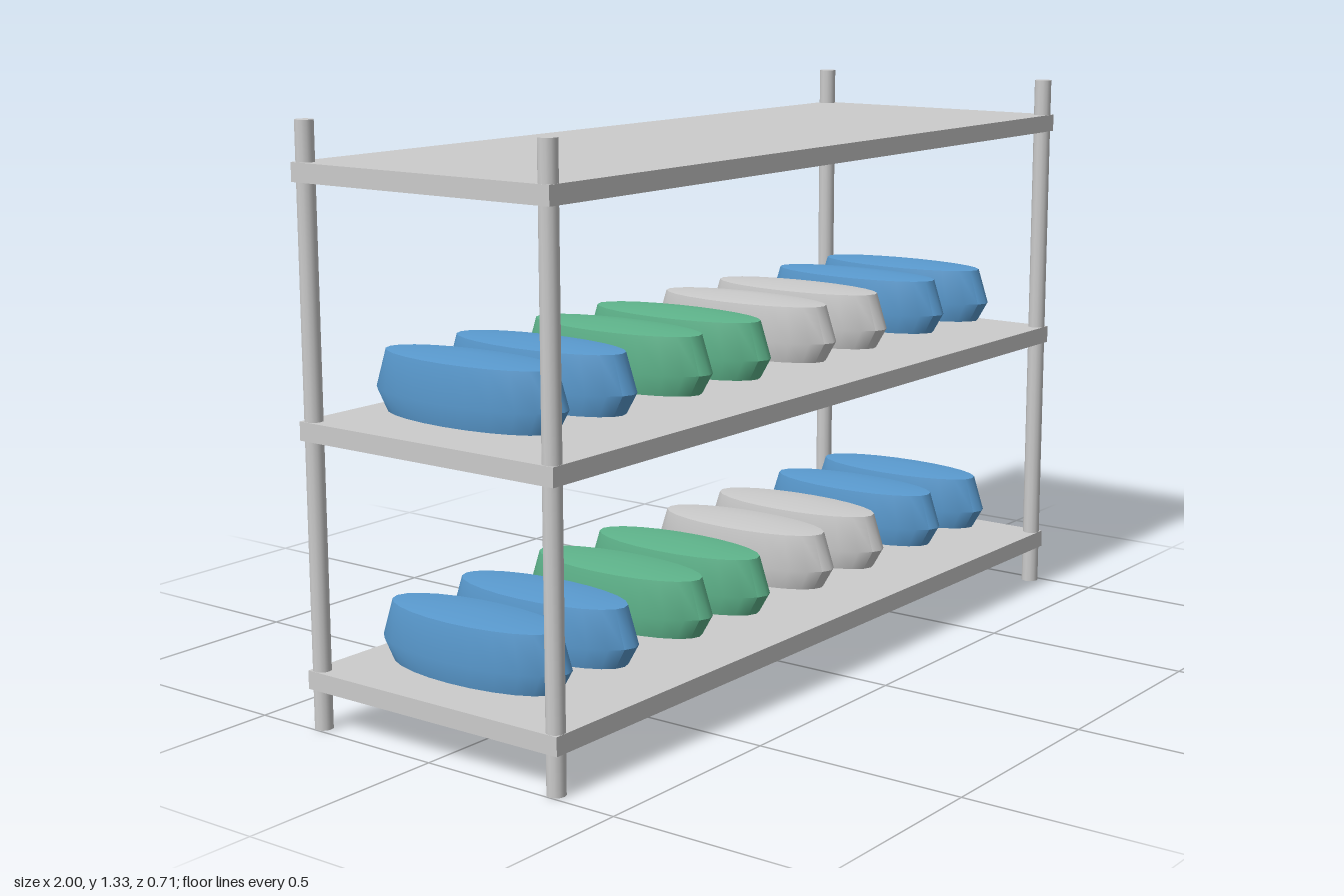
import * as THREE from 'three';
import { toCreasedNormals } from 'three/addons/utils/BufferGeometryUtils.js';

const material = (color) => new THREE.MeshStandardMaterial({ color });

function addMesh(parent, name, geometry, mat, x, y, z) {
  const mesh = new THREE.Mesh(geometry, mat);
  mesh.name = name;
  mesh.position.set(x, y, z);
  parent.add(mesh);
  return mesh;
}

// Closed shoe body: a turned profile stretched to a long oval
function shoeGeometry() {
  const profile = [[0, 0], [0.89, 0], [1, 0.048], [0.89, 0.133], [0, 0.144]]
    .map(([r, y]) => new THREE.Vector2(r, y));
  const geometry = new THREE.LatheGeometry(profile, 24);
  geometry.scale(0.097, 1, 0.258);
  return toCreasedNormals(geometry, 0.7);
}

export function createModel() {
  const rack = new THREE.Group();
  rack.name = 'shoeRack';
  const grey = material(0xcccccc);
  const blue = material(0x5a9bd0);
  const green = material(0x5fb58c);

  // Corner posts
  const post = new THREE.CylinderGeometry(0.021, 0.021, 1.333, 12);
  for (const x of [-0.978, 0.978]) {
    for (const z of [-0.334, 0.334]) addMesh(rack, 'post', post, grey, x, 0.6665, z);
  }

  // Shelves
  const shelf = new THREE.BoxGeometry(2, 0.042, 0.71);
  for (const y of [0.112, 0.668, 1.223]) addMesh(rack, 'shelf', shelf, grey, 0, y, 0);

  // Four pairs of shoes on each of the two lower shelves
  const shoe = shoeGeometry();
  const colors = [blue, green, grey, blue];
  for (const y of [0.157, 0.712]) {
    colors.forEach((mat, i) => {
      const pair = new THREE.Group();
      pair.name = 'shoePair';
      pair.position.set(-0.736 + i * 0.489, y, 0);
      addMesh(pair, 'rightShoe', shoe, mat, -0.111, 0, 0);
      addMesh(pair, 'leftShoe', shoe, mat, 0.111, 0, 0);
      rack.add(pair);
    });
  }
  return rack;
}
